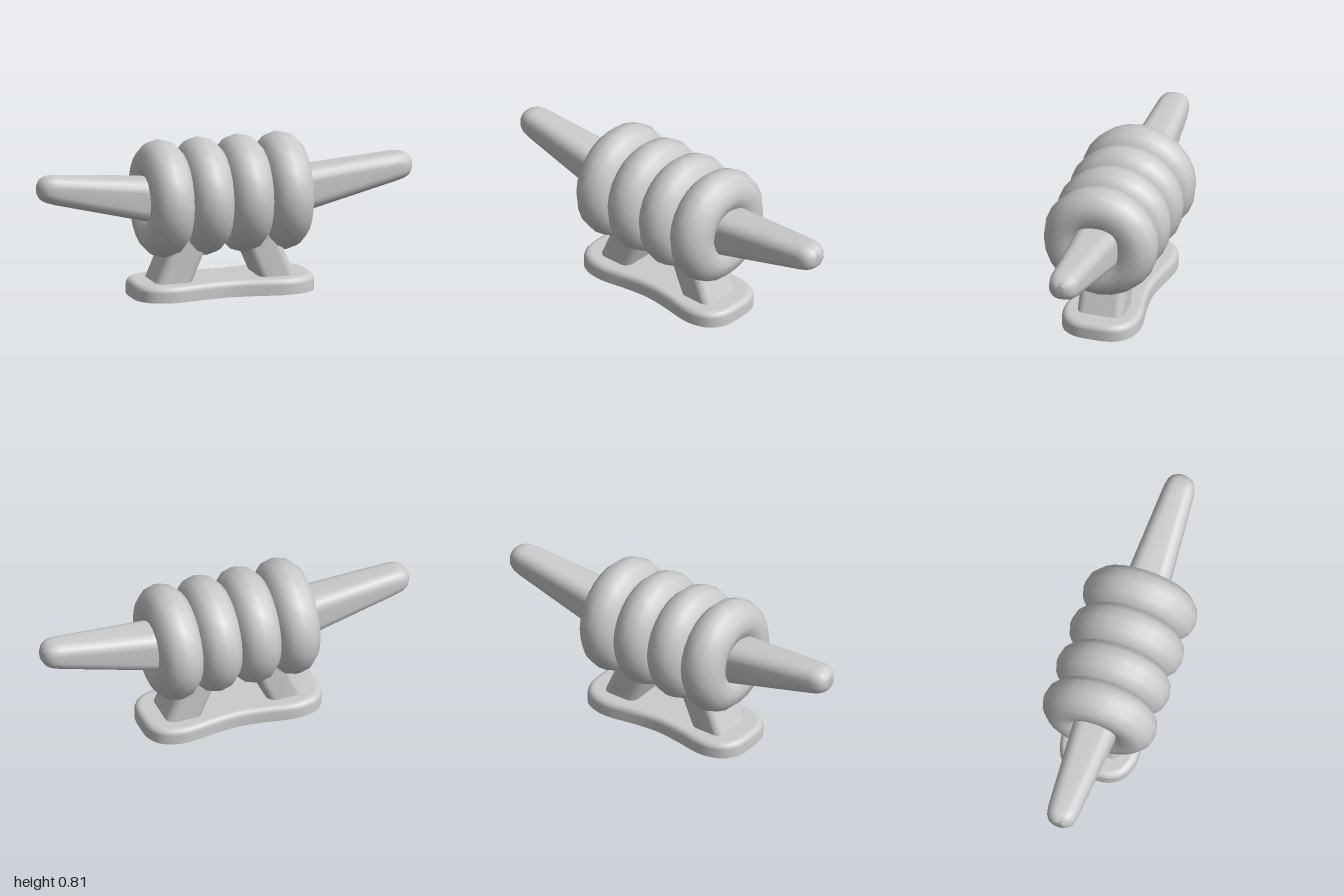
import * as THREE from 'three';

const CENTER = -0.022; // base and legs sit slightly off the bar's middle

// Rounded rectangle outline, counter-clockwise, as [u, v] pairs
function roundedRect(hu, hv, r, steps = 4) {
  const pts = [];
  for (let c = 0; c < 4; c++) {
    const su = c === 0 || c === 3 ? 1 : -1;
    const sv = c < 2 ? 1 : -1;
    for (let k = 0; k <= steps; k++) {
      const a = (c + k / steps) * Math.PI / 2;
      pts.push([su * (hu - r) + r * Math.cos(a), sv * (hv - r) + r * Math.sin(a)]);
    }
  }
  return pts;
}

// Skin a row of closed cross-sections, optionally capping both ends
function loft(sections, capped = false) {
  const n = sections[0].length;
  const pos = sections.flat(2);
  const index = [];
  for (let i = 0; i < sections.length - 1; i++) {
    for (let j = 0; j < n; j++) {
      const a = i * n + j, b = i * n + (j + 1) % n;
      index.push(a, b, b + n, a, b + n, a + n);
    }
  }
  if (capped) {
    const last = (sections.length - 1) * n;
    for (let j = 1; j < n - 1; j++) {
      index.push(0, j + 1, j, last, last + j, last + j + 1);
    }
  }
  const g = new THREE.BufferGeometry();
  g.setAttribute('position', new THREE.Float32BufferAttribute(pos, 3));
  g.setIndex(index);
  g.computeVertexNormals();
  return g;
}

export function createModel() {
  const model = new THREE.Group();
  const solid = new THREE.MeshStandardMaterial({ color: 0xcccccc });
  const shell = new THREE.MeshStandardMaterial({ color: 0xcccccc, side: THREE.DoubleSide });
  const add = (name, geometry, material = solid) => {
    const mesh = new THREE.Mesh(geometry, material);
    mesh.name = name;
    model.add(mesh);
    return mesh;
  };

  // Horn bar: tapers and rises from the middle to two rounded tips
  // [x, bottom, top, half depth, corner fraction]
  const half = [
    [0.1, 0.37, 0.6, 0.12, 0.55],
    [0.38, 0.39, 0.617, 0.115, 0.55],
    [0.65, 0.454, 0.641, 0.097, 0.62],
    [0.92, 0.518, 0.665, 0.08, 0.75],
    [0.96, 0.53, 0.66, 0.073, 0.8],
    [0.985, 0.543, 0.647, 0.058, 0.85],
    [1, 0.565, 0.625, 0.033, 0.9],
  ];
  const stations = [...half.map(([x, ...r]) => [-x, ...r]).reverse(), ...half];
  add('hornBar', loft(stations.map(([x, y0, y1, hz, f]) => {
    const hy = (y1 - y0) / 2;
    return roundedRect(hy, hz, f * Math.min(hy, hz))
      .map(([u, v]) => [x, (y0 + y1) / 2 + u, v]);
  }), true));

  // Rope turns wound around the bar
  const turn = new THREE.TorusGeometry(0.19, 0.115, 12, 24).rotateY(Math.PI / 2);
  for (let i = 0; i < 4; i++) {
    add('ropeTurn' + (i + 1), turn).position.set(-0.335 + i * 0.2133, 0.505, 0);
  }

  // Hollow legs leaning in towards the bar
  const legOutline = roundedRect(0.098, 0.123, 0.045);
  const legX = 0.276;
  for (const side of [-1, 1]) {
    const levels = [0.08, 0.2, 0.42].map((y) => legOutline.map(([u, v]) =>
      [CENTER + side * (legX - 0.43 * (y - 0.08)) + u, y, -v]));
    add(side < 0 ? 'rightLeg' : 'leftLeg', loft(levels), shell);
  }

  // Base outline: rounded ends and a gentle waist
  const quarter = [[0.4825, 0], [0.474, 0.1], [0.432, 0.165], [0.365, 0.197], [0.28, 0.205], [0.14, 0.182]];
  const mirrorU = quarter.slice(1).reverse().map(([u, v]) => [-u, v]);
  const upper = [...quarter, [0, 0.168], ...mirrorU];
  const lower = upper.map(([u, v]) => [-u, -v]);
  const curve = new THREE.CatmullRomCurve3(
    [...upper, ...lower].map(([u, v]) => new THREE.Vector3(u, v, 0)), true);
  const outline = curve.getPoints(72).slice(0, -1);
  const inset = (d) => outline.map((p) =>
    [p.x * (1 - d / 0.4825), p.y * (1 - d / 0.205)]);

  // Base rim: upright wall with a rounded top edge, open underneath
  const rim = [[0, 0], [0, 0.052], [0.003, 0.064], [0.01, 0.074], [0.019, 0.08], [0.03, 0.082]];
  add('baseRim', loft(rim.map(([d, y]) =>
    inset(d).map(([u, v]) => [CENTER + u, y, -v]))), shell);

  // Base top: flat plate with an opening under each leg
  const toVectors = (pts) => pts.map(([u, v]) => new THREE.Vector2(u, v));
  const plate = new THREE.Shape(toVectors(inset(0.03)));
  for (const side of [-1, 1]) {
    plate.holes.push(new THREE.Path(toVectors(
      legOutline.map(([u, v]) => [side * legX + u, v]))));
  }
  add('baseTop', new THREE.ShapeGeometry(plate).rotateX(-Math.PI / 2), shell)
    .position.set(CENTER, 0.082, 0);

  return model;
}
